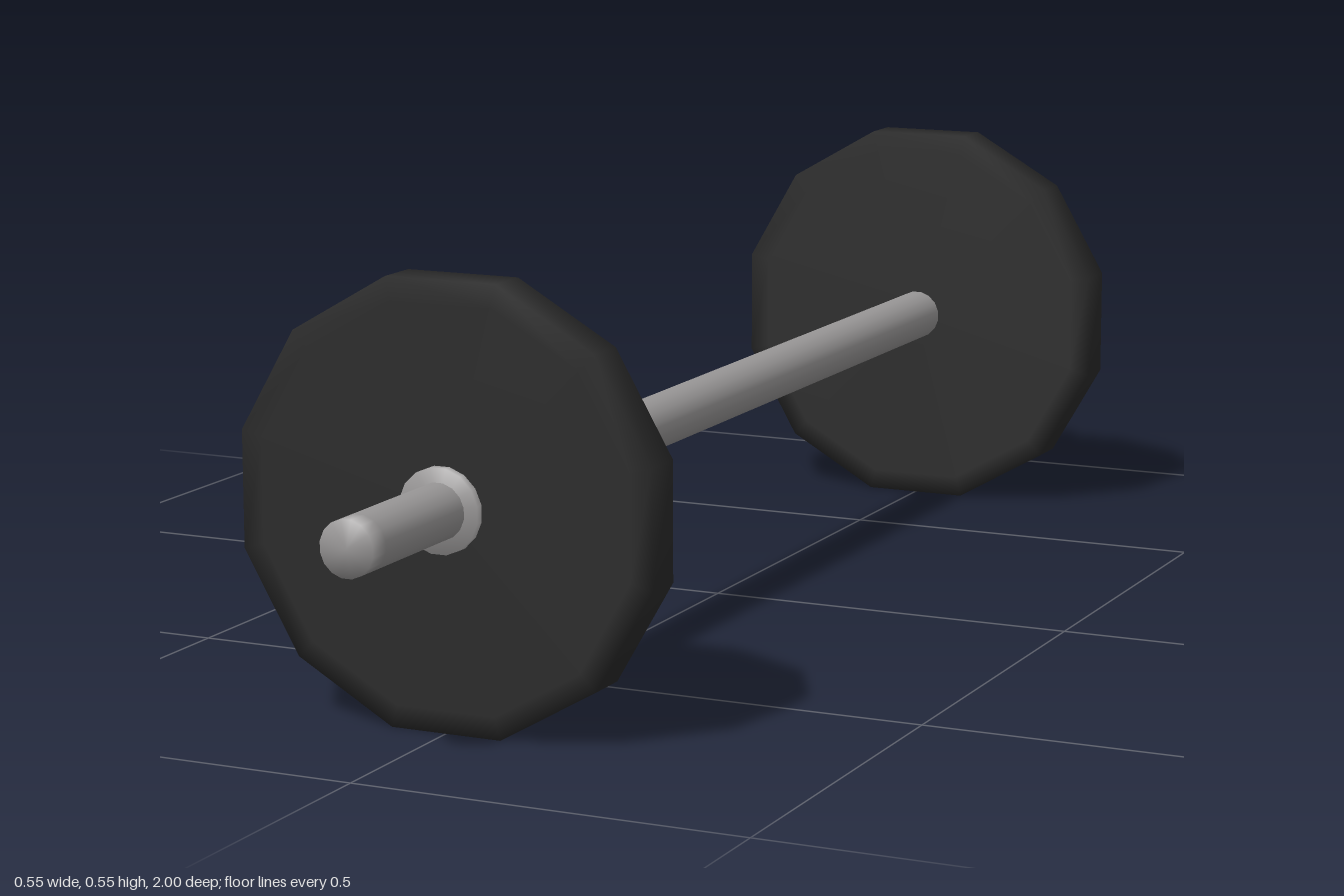
import * as THREE from 'three';

const AXIS_Y = 0.274; // height of the bar's axis

// Smooth lathed part around the z axis; profile is [radius, z] from back to front
function turned(name, profile, sides, material) {
  const points = profile.map(([r, z]) => new THREE.Vector2(r, z));
  const geometry = new THREE.LatheGeometry(points, sides, Math.PI / sides);
  geometry.rotateX(Math.PI / 2);
  const mesh = new THREE.Mesh(geometry, material);
  mesh.name = name;
  return mesh;
}

export function createModel() {
  const steel = new THREE.MeshStandardMaterial({ color: 0x999797 });
  steel.name = 'steel grey';
  const rubber = new THREE.MeshStandardMaterial({ color: 0x2a2a2a });
  rubber.name = 'rubber black';

  const model = new THREE.Group();
  model.name = 'barbell';

  // Long bar with softly shaded ends
  const bar = turned('bar', [
    [0, -1], [0.035, -1], [0.035, -0.97], [0.035, 0.97], [0.035, 1], [0, 1],
  ], 16, steel);
  bar.position.y = AXIS_Y;
  model.add(bar);

  // A twelve-sided weight plate and its outer collar at each end
  for (const side of [1, -1]) {
    const end = new THREE.Group();
    end.name = side > 0 ? 'frontWeight' : 'backWeight';
    const plate = turned('plate', [
      [0, -0.029], [0.254, -0.029], [0.283, -0.028],
      [0.283, 0.028], [0.254, 0.029], [0, 0.029],
    ], 12, rubber);
    const collar = turned('collar', [
      [0, 0.01], [0.053, 0.01], [0.053, 0.04], [0, 0.04],
    ], 16, steel);
    end.add(plate, collar);
    end.position.set(0, AXIS_Y, side * 0.745);
    if (side < 0) end.rotation.y = Math.PI;
    model.add(end);
  }
  return model;
}
